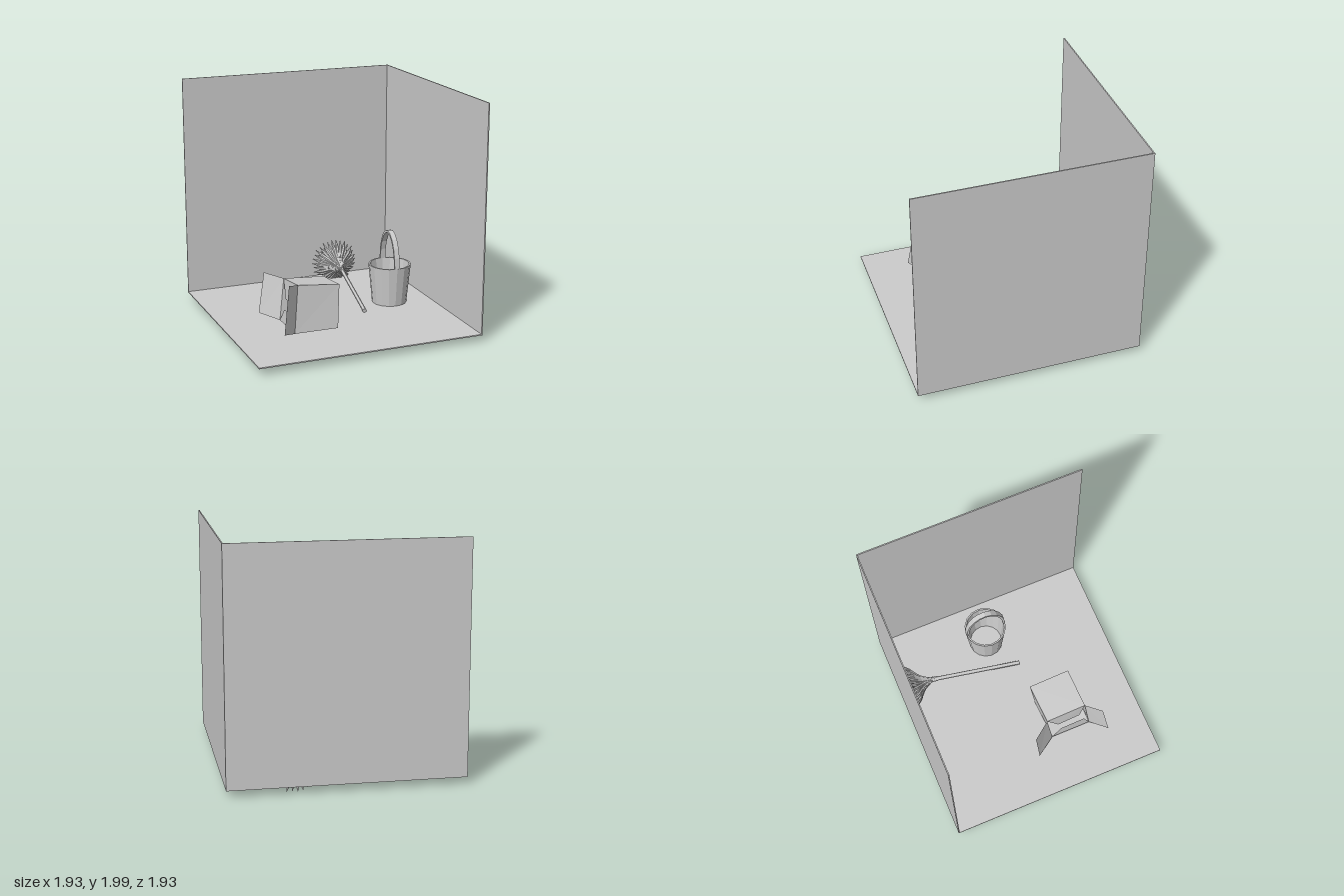
import * as THREE from 'three';

const mat = new THREE.MeshStandardMaterial({ color: 0xcccccc, flatShading: true });
const thin = new THREE.MeshStandardMaterial({ color: 0xcccccc, flatShading: true, side: THREE.DoubleSide });

function add(parent, name, geometry, material = mat) {
  const mesh = new THREE.Mesh(geometry, material);
  mesh.name = name;
  parent.add(mesh);
  return mesh;
}

// Flat four-cornered sheet
function sheet(a, b, c, d) {
  const g = new THREE.BufferGeometry();
  g.setAttribute('position', new THREE.Float32BufferAttribute([a, b, c, d].flat(), 3));
  g.setIndex([0, 1, 2, 0, 2, 3]);
  g.computeVertexNormals();
  return g;
}

function slab(parent, name, w, h, d, x, y, z) {
  add(parent, name, new THREE.BoxGeometry(w, h, d)).position.set(x, y, z);
}

// Round rod between two points
function rod(a, b, r1, r2, sides) {
  const dir = b.clone().sub(a);
  const g = new THREE.CylinderGeometry(r2, r1, dir.length(), sides);
  g.applyQuaternion(new THREE.Quaternion().setFromUnitVectors(new THREE.Vector3(0, 1, 0), dir.normalize()));
  const mid = a.clone().add(b).multiplyScalar(0.5);
  return g.translate(mid.x, mid.y, mid.z);
}

// Tube whose radius follows a profile along its path
function taperedTube(curve, radii, sides) {
  const segs = radii.length - 1;
  const g = new THREE.TubeGeometry(curve, segs, 1, sides);
  const p = g.attributes.position, v = new THREE.Vector3();
  for (let i = 0; i <= segs; i++) {
    const c = curve.getPointAt(i / segs);
    for (let j = 0; j <= sides; j++) {
      const k = i * (sides + 1) + j;
      v.fromBufferAttribute(p, k).sub(c).multiplyScalar(radii[i]).add(c);
      p.setXYZ(k, v.x, v.y, v.z);
    }
  }
  g.computeVertexNormals();
  return g;
}

function createBox() {
  const box = new THREE.Group();
  box.name = 'openBox';
  // Corners of the tilted carton: T top, B bottom; F front, K back; L open end, R closed end
  const TFL = [-0.447, 0.516, 0.44], TFR = [-0.085, 0.479, 0.44];
  const TKL = [-0.44, 0.465, 0.09], TKR = [-0.08, 0.436, 0.08];
  const BFL = [-0.49, 0.119, 0.48], BFR = [-0.114, 0.119, 0.485];
  const BKL = [-0.49, 0.116, 0.125], BKR = [-0.119, 0.082, 0.115];
  const sides = {
    boxTop: [TFL, TFR, TKR, TKL],
    boxBottom: [BFL, BKL, BKR, BFR],
    boxFront: [BFL, BFR, TFR, TFL],
    boxBack: [BKR, BKL, TKL, TKR],
    boxEnd: [BFR, BKR, TKR, TFR],
    frontFlap: [TFL, [-0.565, 0.56, 0.555], [-0.625, 0.17, 0.608], BFL],
    backFlap: [TKL, BKL, [-0.615, 0.14, -0.05], [-0.56, 0.485, -0.066]],
    topFlap: [TFL, TKL, [-0.46, 0.313, 0.19], [-0.46, 0.34, 0.39]],
    bottomFlap: [BFL, [-0.48, 0.25, 0.43], [-0.48, 0.235, 0.21], BKL],
  };
  for (const [name, corners] of Object.entries(sides)) add(box, name, sheet(...corners), thin);
  return box;
}

function createBucket() {
  const bucket = new THREE.Group();
  bucket.name = 'bucket';
  const profile = [[0, 0], [0.15, 0], [0.184, 0.345], [0.17, 0.345], [0.14, 0.015], [0, 0.015]]
    .map(([x, y]) => new THREE.Vector2(x, y));
  add(bucket, 'pail', new THREE.LatheGeometry(profile, 16), thin);

  // Arched strap handle spanning front to back
  const arch = new THREE.Shape();
  const n = 10;
  for (let i = 0; i <= n; i++) {
    const t = Math.PI * i / n;
    arch.lineTo(0.18 * Math.cos(t), 0.3 * Math.sin(t));
  }
  for (let i = n; i >= 0; i--) {
    const t = Math.PI * i / n;
    arch.lineTo(0.16 * Math.cos(t), 0.278 * Math.sin(t));
  }
  arch.curves.shift();
  const strap = new THREE.ExtrudeGeometry(arch, { depth: 0.046, bevelEnabled: false });
  strap.translate(0, 0.345, -0.023).rotateY(Math.PI / 2);
  add(bucket, 'bucketHandle', strap);
  bucket.position.set(0.595, 0.08, -0.064);
  bucket.rotation.y = -0.05;
  return bucket;
}

function createBroom() {
  const broom = new THREE.Group();
  broom.name = 'broom';
  const end = new THREE.Vector3(0.277, 0.097, 0.13);
  const neck = new THREE.Vector3(0.392, 0.215, -0.67);
  add(broom, 'broomStick', rod(end, neck, 0.018, 0.018, 10));
  // Binding rings where the bristles meet the stick
  for (let i = 0; i < 3; i++) {
    const a = neck.clone().lerp(end, 0.025 * i), b = neck.clone().lerp(end, 0.025 * i + 0.02);
    add(broom, 'binding', rod(a, b, 0.025 - 0.002 * i, 0.025 - 0.002 * i, 10));
  }
  // Rings of leaf-shaped bristles: count, spread at the tip, tip z
  const rings = [[30, 0.212, -0.91], [22, 0.155, -0.935], [14, 0.095, -0.95], [7, 0.04, -0.955]];
  const radii = [0.005, 0.008, 0.012, 0.016, 0.017, 0.012, 0.001];
  rings.forEach(([count, spread, tipZ], ring) => {
    for (let i = 0; i < count; i++) {
      const a = (i + 0.5 * (ring % 2)) / count * Math.PI * 2;
      const wobble = 1 + 0.04 * Math.sin(i * 2.7 + ring);
      const at = (r, z, drift) => new THREE.Vector3(
        neck.x + drift + Math.cos(a) * r * wobble * 1.04, neck.y + Math.sin(a) * r * wobble, z);
      const path = new THREE.CatmullRomCurve3([
        at(0.014, neck.z, 0),
        at(spread * 0.3, neck.z - 0.1, 0.006),
        at(spread * 0.72, -0.85, 0.015),
        at(spread * 0.95, tipZ, 0.025),
      ]);
      add(broom, 'bristle', taperedTube(path, radii, 6));
    }
  });
  return broom;
}

export function createModel() {
  const model = new THREE.Group();
  model.name = 'roomCorner';
  slab(model, 'floor', 1.93, 0.01, 1.93, 0, 0.075, 0);
  slab(model, 'backWall', 1.93, 1.93, 0.01, 0, 1.035, -0.96);
  slab(model, 'sideWall', 0.01, 1.93, 1.93, 0.96, 1.035, 0);
  model.add(createBox(), createBucket(), createBroom());
  return model;
}
